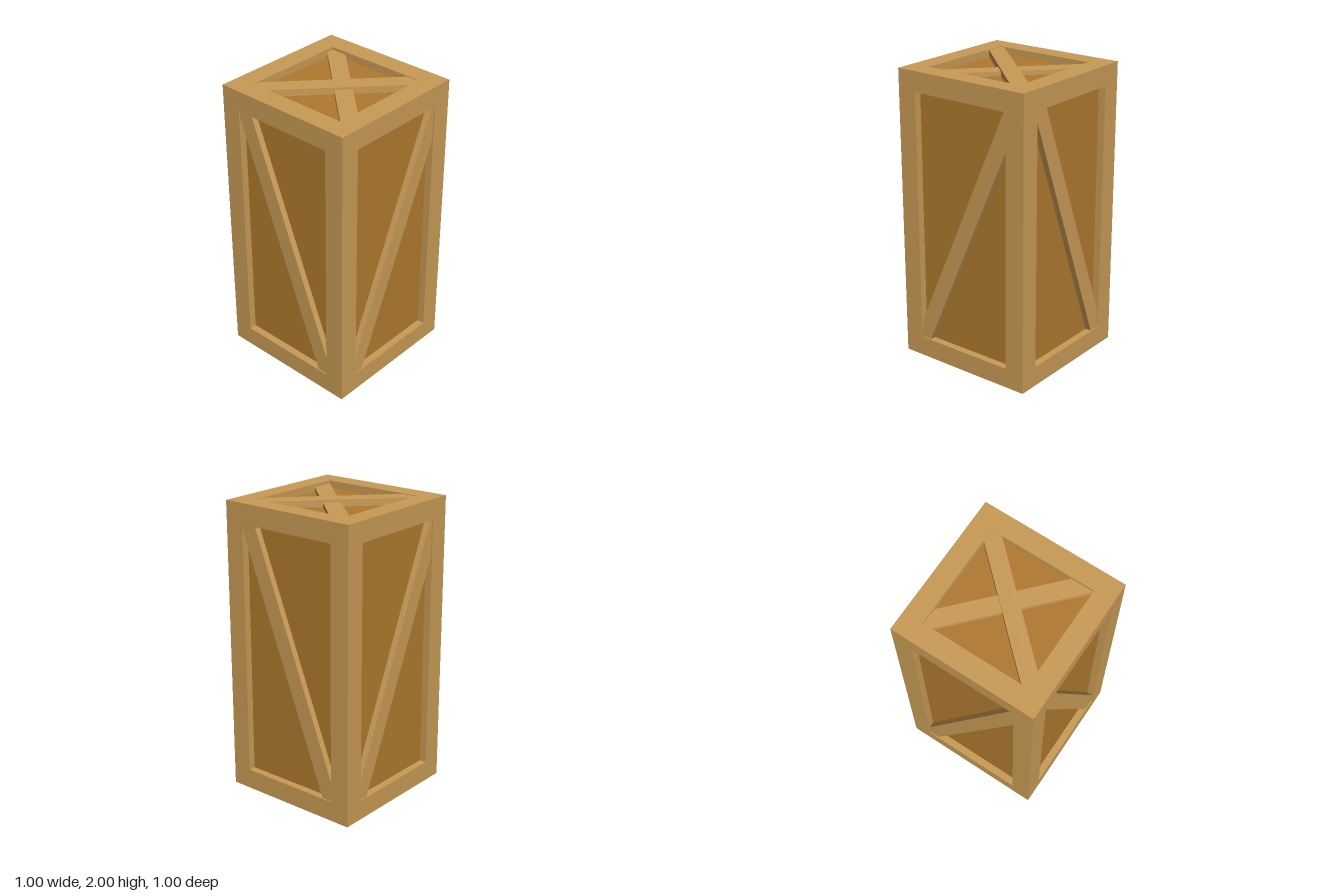
import * as THREE from 'three';

const W = 1, H = 2, BAR = 0.137, RECESS = 0.05;
const INNER = W - 2 * BAR;

const frameMat = new THREE.MeshStandardMaterial({ color: 0xc99b56, flatShading: true });
const panelMat = new THREE.MeshStandardMaterial({ color: 0xb07a2e, flatShading: true });

function box(name, mat, w, h, d, x, y, z) {
  const m = new THREE.Mesh(new THREE.BoxGeometry(w, h, d), mat);
  m.name = name;
  m.position.set(x, y, z);
  return m;
}

// Flat board cut to the outline, its back at z = 0 and its face at z = depth
function board(name, points, depth) {
  const shape = new THREE.Shape(points.map(([x, y]) => new THREE.Vector2(x, y)));
  const geo = new THREE.ExtrudeGeometry(shape, { depth, bevelEnabled: false });
  const m = new THREE.Mesh(geo, frameMat);
  m.name = name;
  return m;
}

// Outlines of the diagonal boards, trimmed to the frame openings
const E = INNER / 2, LOW = BAR, TOP = H - BAR;
const fallingBrace = [[-E, 1.81], [0.286, LOW], [E, LOW], [E, 0.26], [-0.262, TOP], [-E, TOP]];
const risingBrace = [[-E, LOW], [-0.29, LOW], [E, 1.62], [E, TOP], [0.345, TOP], [-E, 0.25]];
const lidUpper = [[-E, -E], [-0.245, -E], [E, 0.29], [E, E], [0.275, E], [-E, -0.325]];
const lidLower = [[-E, 0.31], [E, -E], [E, -0.205], [-0.25, E], [-E, E]];

export function createModel() {
  const crate = new THREE.Group();
  crate.name = 'crate';

  // Recessed panels on the sides and lid
  const core = W - 2 * RECESS;
  crate.add(box('panels', panelMat, core, H - 2 * RECESS, core, 0, H / 2, 0));

  // Solid base between the posts
  crate.add(box('base', frameMat, INNER, BAR, INNER, 0, BAR / 2, 0));

  const c = (W - BAR) / 2;
  for (let i = 0; i < 4; i++) {
    const side = new THREE.Group();
    side.name = ['frontSide', 'rightSide', 'backSide', 'leftSide'][i];
    side.rotation.y = i * Math.PI / 2;

    // One corner post and two rails per side
    side.add(box('cornerPost', frameMat, BAR, H, BAR, c, H / 2, c));
    side.add(box('bottomRail', frameMat, INNER, BAR, BAR, 0, BAR / 2, c));
    side.add(box('topRail', frameMat, INNER, BAR, BAR, 0, H - BAR / 2, c));

    // Diagonal brace, alternating direction around the crate
    const brace = board('diagonalBrace', i % 2 ? risingBrace : fallingBrace, RECESS - 0.008);
    brace.position.z = W / 2 - RECESS;
    side.add(brace);
    crate.add(side);
  }

  // Crossed braces on the lid, one passing over the other
  const lid = new THREE.Group();
  lid.name = 'lidBraces';
  lid.add(board('upperLidBrace', lidUpper, RECESS - 0.004));
  lid.add(board('lowerLidBrace', lidLower, RECESS - 0.02));
  lid.rotation.x = -Math.PI / 2;
  lid.position.y = H - RECESS;
  crate.add(lid);

  return crate;
}
